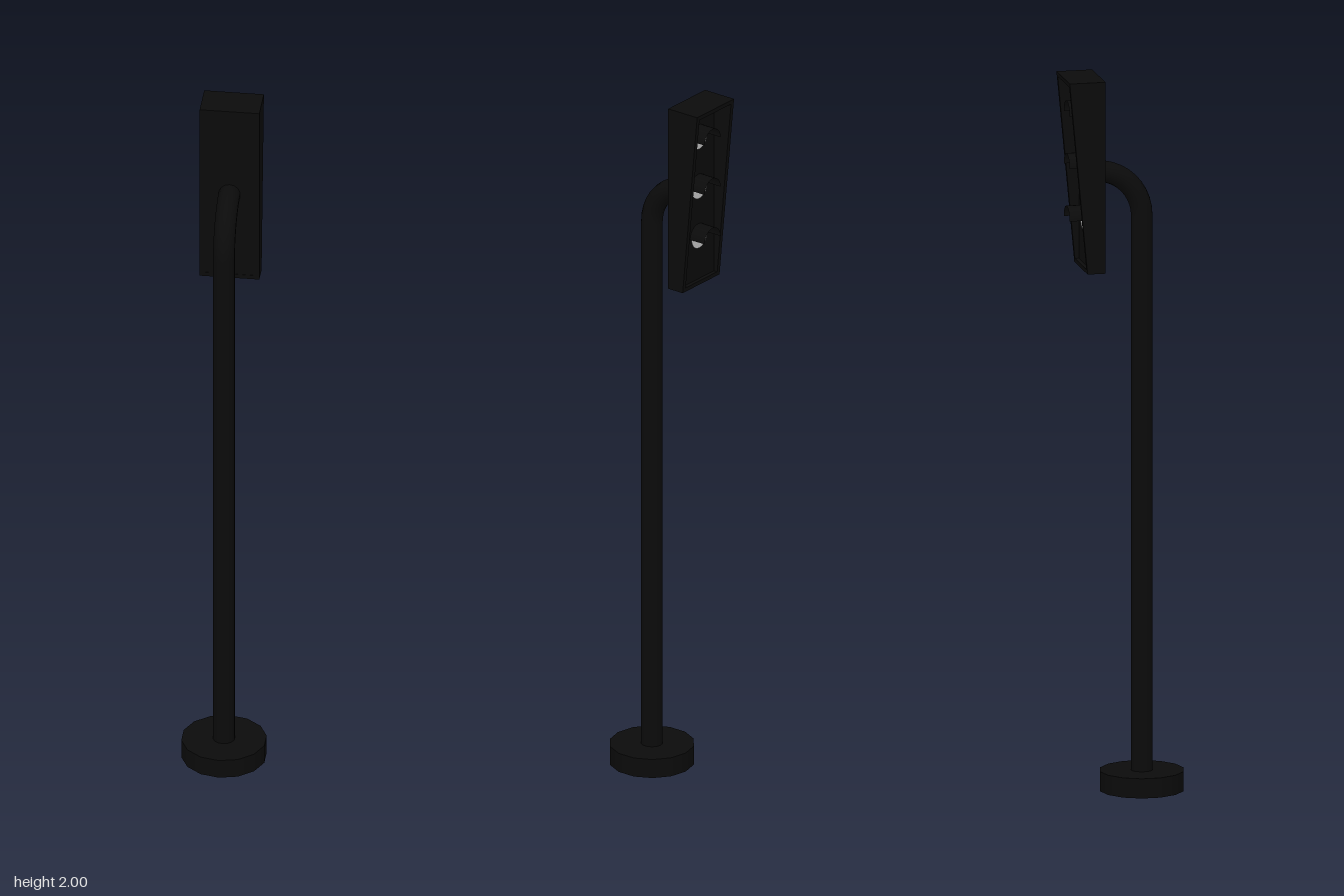
import * as THREE from 'three';

const dark = new THREE.MeshStandardMaterial({ color: 0x0b0b0b });
const darkThin = new THREE.MeshStandardMaterial({ color: 0x0b0b0b, side: THREE.DoubleSide });
const grey = new THREE.MeshStandardMaterial({ color: 0xcccccc });

const POLE_Z = 0.05, POLE_R = 0.03, BEND_R = 0.13, BEND_Y = 1.605;
const HALF_W = 0.082, BOTTOM = 1.465, TOP = 2;
const FRONT_Z = -0.07, PANEL_Z = -0.11;

function add(parent, name, geometry, material, x = 0, y = 0, z = 0) {
  const mesh = new THREE.Mesh(geometry, material);
  mesh.name = name;
  mesh.position.set(x, y, z);
  parent.add(mesh);
  return mesh;
}

// Rectangle outline, pulled in by an inset
function trace(path, inset) {
  const w = HALF_W - inset, b = BOTTOM + inset, t = TOP - inset;
  path.moveTo(-w, b);
  path.lineTo(w, b);
  path.lineTo(w, t);
  path.lineTo(-w, t);
  path.closePath();
  return path;
}

// Rectangular rim whose open rear edge leans outward towards the top
function rimGeometry() {
  const shape = trace(new THREE.Shape(), 0);
  shape.holes.push(trace(new THREE.Path(), 0.012));
  const geo = new THREE.ExtrudeGeometry(shape, { depth: 0.1, bevelEnabled: false });
  const p = geo.attributes.position;
  for (let i = 0; i < p.count; i++) {
    const lean = (p.getY(i) - BOTTOM) / (TOP - BOTTOM);
    p.setZ(i, p.getZ(i) > 0.05 ? FRONT_Z : -0.12 - 0.05 * lean);
  }
  geo.computeVertexNormals();
  return geo;
}

export function createModel() {
  const model = new THREE.Group();
  model.name = 'trafficSignal';

  // Foot and post
  add(model, 'base', new THREE.CylinderGeometry(0.117, 0.117, 0.055, 14), dark, 0, 0.0275, POLE_Z);
  add(model, 'pole', new THREE.CylinderGeometry(POLE_R, POLE_R, BEND_Y - 0.05, 14, 1, true),
    dark, 0, (BEND_Y + 0.05) / 2, POLE_Z);

  // Quarter bend running back into the housing
  const bend = new THREE.TorusGeometry(BEND_R, POLE_R, 14, 10, Math.PI / 2);
  bend.rotateY(-Math.PI / 2);
  add(model, 'bend', bend, dark, 0, BEND_Y, POLE_Z - BEND_R);

  // Housing: slanted rim around an upright panel
  const housing = new THREE.Group();
  housing.name = 'housing';
  model.add(housing);
  add(housing, 'rim', rimGeometry(), dark);
  add(housing, 'panel',
    new THREE.BoxGeometry(2 * HALF_W - 0.02, TOP - BOTTOM - 0.02, FRONT_Z - PANEL_Z - 0.001),
    dark, 0, (TOP + BOTTOM) / 2, (FRONT_Z + PANEL_Z - 0.001) / 2);

  // Three lamps, each under a half-round hood
  const lens = new THREE.CircleGeometry(0.035, 20).rotateY(Math.PI);
  const hood = new THREE.CylinderGeometry(0.036, 0.036, 0.05, 12, 1, true, -Math.PI / 2, Math.PI);
  hood.rotateX(-Math.PI / 2);
  for (let i = 0; i < 3; i++) {
    const lamp = new THREE.Group();
    lamp.name = 'lamp' + (i + 1);
    lamp.position.set(0, 1.605 + i * 0.147, PANEL_Z);
    housing.add(lamp);
    add(lamp, 'lens', lens, grey, 0, 0, -0.004);
    add(lamp, 'hood', hood, darkThin, 0, 0, -0.025);
  }
  return model;
}
